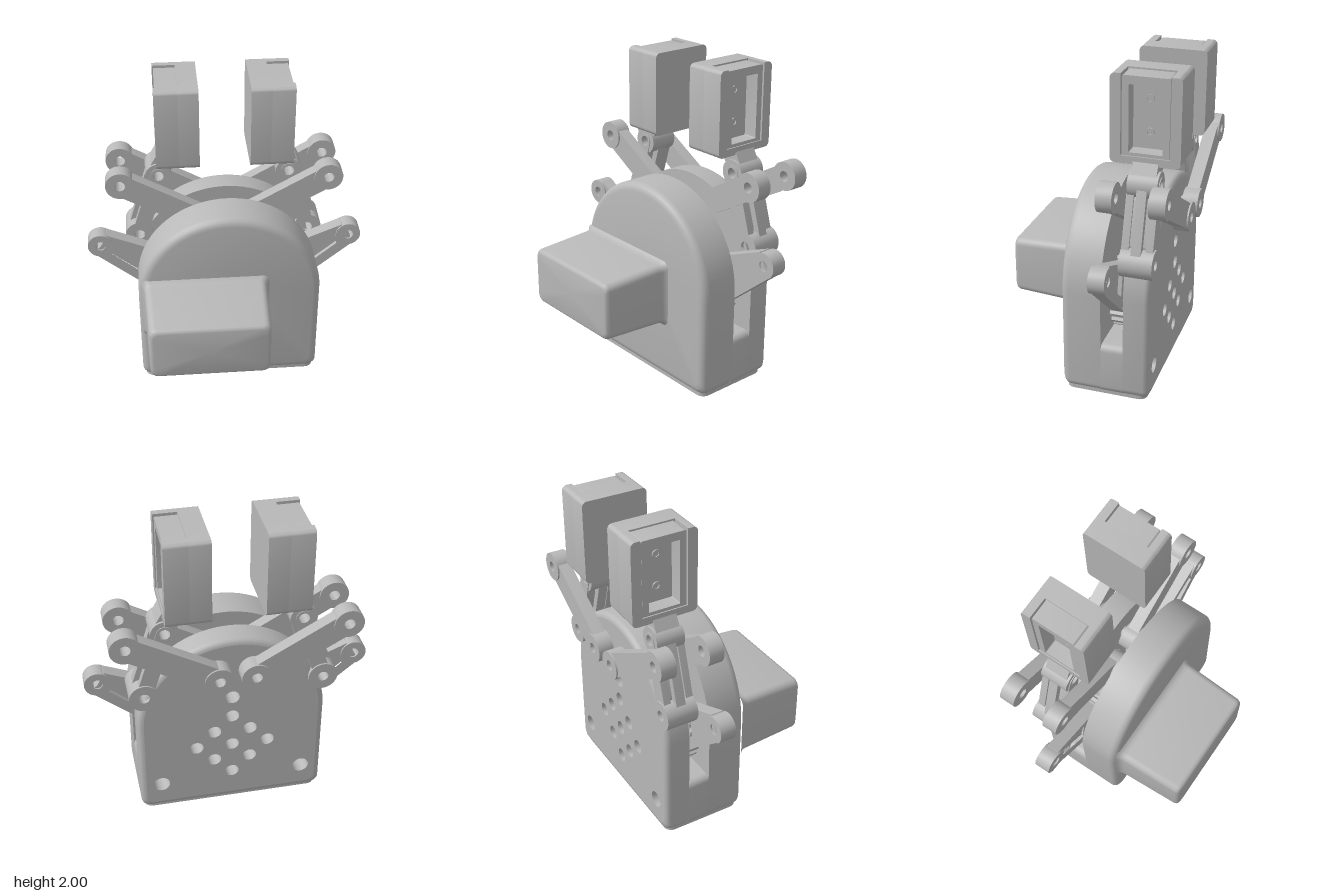
import * as THREE from 'three';
import { toCreasedNormals } from 'three/addons/utils/BufferGeometryUtils.js';

const grey = new THREE.MeshStandardMaterial({ color: 0xb8b8b8 });
grey.name = 'plain grey';
const V = (x, y) => new THREE.Vector2(x, y);
const poly = (pts) => new THREE.Shape(pts.map(([x, y]) => V(x, y)));

function add(parent, name, geometry) {
  const mesh = new THREE.Mesh(geometry, grey);
  mesh.name = name;
  parent.add(mesh);
  return mesh;
}

function arc(cx, cy, r, from, to, n) {
  const pts = [];
  for (let i = 0; i <= n; i++) {
    const a = THREE.MathUtils.degToRad(from + ((to - from) * i) / n);
    pts.push(V(cx + r * Math.cos(a), cy + r * Math.sin(a)));
  }
  return pts;
}

function roundRect(x0, x1, y0, y1, r) {
  return [
    ...arc(x1 - r, y0 + r, r, -90, 0, 6), ...arc(x1 - r, y1 - r, r, 0, 90, 6),
    ...arc(x0 + r, y1 - r, r, 90, 180, 6), ...arc(x0 + r, y0 + r, r, 180, 270, 6),
  ];
}

// Arched housing outline, inset by d
function arch(d) {
  const cx = 0.01, R = 0.58 - d, y0 = 0.02 + d, c = 0.05;
  return [
    ...arc(cx + R - c, y0 + c, c, -90, 0, 6),
    ...arc(cx, 0.67, R, 0, 180, 48),
    ...arc(cx - R + c, y0 + c, c, 180, 270, 6),
  ];
}

// Skin over convex outlines stacked along z, lowest z first
function loft(sections, capBack, capFront) {
  const pos = [];
  const put = (...vs) => vs.forEach(([p, z]) => pos.push(p.x, p.y, z));
  const n = sections[0][0].length;
  for (let i = 0; i + 1 < sections.length; i++) {
    const [A, za] = sections[i], [B, zb] = sections[i + 1];
    for (let j = 0; j < n; j++) {
      const k = (j + 1) % n;
      put([A[j], za], [A[k], za], [B[k], zb], [A[j], za], [B[k], zb], [B[j], zb]);
    }
  }
  const cap = ([P, z], front) => {
    const c = P.reduce((s, p) => s.add(p), V(0, 0)).divideScalar(n);
    for (let j = 0; j < n; j++) {
      const a = P[j], b = P[(j + 1) % n];
      put([c, z], [front ? a : b, z], [front ? b : a, z]);
    }
  };
  if (capBack) cap(sections[0], false);
  if (capFront) cap(sections[sections.length - 1], true);
  const g = new THREE.BufferGeometry();
  g.setAttribute('position', new THREE.Float32BufferAttribute(pos, 3));
  return toCreasedNormals(g, 0.6);
}

// Flat part between z0 and z1; holes are [x, y, r]
function plate(shape, z0, z1, holes = []) {
  for (const [x, y, r] of holes) shape.holes.push(new THREE.Path(arc(x, y, r, 360, 0, 24).slice(1)));
  const g = new THREE.ExtrudeGeometry(shape, { depth: z1 - z0, bevelEnabled: false });
  return toCreasedNormals(g.translate(0, 0, z0), 0.6);
}

const eye = (x, y, r, z0, z1, hole) => plate(new THREE.Shape(arc(x, y, r, 0, 360, 32).slice(1)), z0, z1, [[x, y, hole]]);

// Round-ended bar from a to b
function bar(a, b, r, z0, z1, hole) {
  const t = THREE.MathUtils.radToDeg(Math.atan2(b[1] - a[1], b[0] - a[0]));
  const pts = [...arc(b[0], b[1], r, t - 90, t + 90, 16), ...arc(a[0], a[1], r, t + 90, t + 270, 16)];
  return plate(new THREE.Shape(pts), z0, z1, hole ? [[...a, hole], [...b, hole]] : []);
}

function gearShape(cx, cy, r, teeth, phase) {
  const pts = [];
  for (let i = 0; i < teeth; i++) {
    [[0, -0.02], [0.25, -0.02], [0.4, 0.015], [0.75, 0.015]].forEach(([f, h]) => {
      const a = ((i + f + phase) / teeth) * Math.PI * 2;
      pts.push([cx + (r + h) * Math.cos(a), cy + (r + h) * Math.sin(a)]);
    });
  }
  return poly(pts);
}

function buildHousing(root) {
  const body = new THREE.Group();
  body.name = 'housing';
  root.add(body);
  const edge = (z, r, dir) => [0, 22.5, 45, 67.5, 90].map((a) => {
    const t = THREE.MathUtils.degToRad(a);
    return [arch(r * (1 - Math.cos(t))), z + dir * r * Math.sin(t)];
  });
  // Front shell, rounded at its front edge
  add(body, 'frontShell', loft([[arch(0), -0.14], ...edge(0.06, 0.05, 1)], true, true));
  // Back shell, with a drilled panel closing it
  add(body, 'backShell', loft([...edge(-0.405, 0.035, -1).reverse(), [arch(0), -0.28]], false, false));
  const holes = [[0.46, 0.2, 0.052], [-0.44, 0.2, 0.052], [0.01, 0.83, 0.045]];
  for (let i = -1; i <= 1; i++)
    for (let j = -1; j <= 1; j++) holes.push([0.01 + (i - j) * 0.112, 0.46 + (i + j) * 0.112, 0.043]);
  add(body, 'backPanel', plate(new THREE.Shape(arch(0.035)), -0.44, -0.281, holes));
  add(body, 'backShellRim', plate(new THREE.Shape(arch(0)), -0.285, -0.28, holes));
  // Solid base under the side slots
  add(body, 'slotBase', plate(new THREE.Shape(roundRect(-0.57, 0.59, 0.02, 0.35, 0.045)), -0.285, -0.135));
  // Drilled bottom plate and foot rings
  const vents = [[0.01, 0.165, 0.04]], feet = [];
  for (let i = 0; i < 6; i++) {
    const a = (i * Math.PI) / 3;
    vents.push([0.01 + 0.2 * Math.cos(a), 0.165 + 0.155 * Math.sin(a), 0.04]);
  }
  for (const x of [-0.48, 0.5]) for (const y of [-0.03, 0.36]) feet.push([x, y, 0.045]);
  const floor = plate(new THREE.Shape(roundRect(-0.55, 0.57, -0.09, 0.42, 0.05)), 0.004, 0.045, [...vents, ...feet]);
  add(body, 'bottomPlate', floor.rotateX(-Math.PI / 2));
  for (const [x, y] of feet)
    add(body, 'footRing', eye(x, y, 0.055, 0, 0.03, 0.028).rotateX(-Math.PI / 2));
  // Motor cover on the front, flared at its root
  const cover = (d) => roundRect(-0.53 + d, 0.24 - d, 0.4 + d, 0.8 - d, 0.045);
  add(body, 'motorCover', loft([
    [cover(-0.025), 0.105], [cover(-0.012), 0.118], [cover(-0.003), 0.135], [cover(0), 0.16],
    [cover(0.015), 0.53], [cover(0.02), 0.547], [cover(0.03), 0.557], [cover(0.04), 0.56],
  ], false, true));
}

function buildLinkage(root, s) {
  const side = new THREE.Group();
  side.name = s > 0 ? 'leftLinkage' : 'rightLinkage';
  root.add(side);
  const P = (x, y) => [s * x, y];

  // Upper arms, one in the slot and one behind the back panel
  const inner = P(0.11, 1.05), outer = P(0.65, 1.357);
  for (const [z0, z1] of [[-0.255, -0.16], [-0.56, -0.462]]) {
    add(side, 'upperArm', bar(inner, outer, 0.076, z0 + 0.01, z1 - 0.01, 0.034));
    for (const p of [inner, outer]) add(side, 'upperArmEye', eye(...p, 0.09, z0, z1, 0.033));
  }
  const pin = new THREE.CylinderGeometry(0.033, 0.033, 0.35, 24).rotateX(Math.PI / 2);
  add(side, 'pivotPin', pin.translate(...inner, -0.31));

  // Drive gear with the ribbed lower arm
  add(side, 'driveGear', plate(gearShape(s * 0.25, 0.6, 0.235, 24, s > 0 ? 0 : 0.5), -0.255, -0.165, [[s * 0.25, 0.6, 0.045]]));
  const frame = poly([P(0.755, 0.985), P(0.34, 0.81), P(0.43, 0.5), P(0.855, 0.857), P(0.8, 0.9)]);
  frame.holes.push(new THREE.Path([P(0.71, 0.905), P(0.5, 0.82), P(0.53, 0.67), P(0.73, 0.84)].map((p) => V(...p))));
  add(side, 'lowerArm', plate(frame, -0.25, -0.17, [[s * 0.8, 0.912, 0.033]]));
  add(side, 'lowerArmWeb', plate(poly([P(0.73, 0.91), P(0.48, 0.83), P(0.51, 0.64), P(0.74, 0.83)]), -0.225, -0.195));
  add(side, 'lowerArmEye', eye(...P(0.8, 0.912), 0.08, -0.26, -0.16, 0.033));

  // Coupler carrying the finger, wide centre rib and slimmer flanks
  const top = P(0.41, 1.357), low = P(0.545, 0.92);
  add(side, 'couplerRib', bar(top, low, 0.075, -0.385, -0.325, 0.033));
  for (const [z0, z1] of [[-0.45, -0.405], [-0.305, -0.26]]) add(side, 'couplerFlank', bar(top, low, 0.05, z0, z1, 0.033));
  add(side, 'couplerWeb', bar(P(0.44, 1.26), P(0.515, 1.02), 0.035, -0.42, -0.29));
  add(side, 'couplerTopEye', eye(...top, 0.082, -0.445, -0.265, 0.033));
  add(side, 'couplerLowEye', eye(...low, 0.09, -0.46, -0.26, 0.033));
  add(side, 'fingerTab', plate(poly([P(0.34, 1.4), P(0.47, 1.4), P(0.42, 1.49), P(0.275, 1.49)]), -0.43, -0.28));
}

function buildFinger(root, s) {
  const finger = new THREE.Group();
  finger.name = s > 0 ? 'leftFinger' : 'rightFinger';
  finger.position.z = -0.35;
  if (s < 0) finger.rotation.y = Math.PI;
  root.add(finger);
  const along = (shape, x0, x1, holes) => plate(shape, x0, x1, holes).rotateY(Math.PI / 2);
  // Gripping pad, a solid inner half and a wrap around the holder
  add(finger, 'pad', along(new THREE.Shape(roundRect(-0.208, 0.208, 1.472, 2, 0.03)), 0.155, 0.28));
  const wrap = new THREE.Shape([
    ...arc(0.178, 1.502, 0.03, -90, 0, 6), ...arc(0.178, 1.97, 0.03, 0, 90, 6),
    V(0.145, 2), V(0.145, 1.52), V(-0.145, 1.52), V(-0.145, 2),
    ...arc(-0.178, 1.97, 0.03, 90, 180, 6), ...arc(-0.178, 1.502, 0.03, 180, 270, 6),
  ]);
  add(finger, 'padWrap', along(wrap, 0.28, 0.42));
  // Holder with a screwed pocket
  const holder = new THREE.Shape(roundRect(-0.14, 0.14, 1.515, 1.99, 0.01));
  holder.holes.push(new THREE.Path(roundRect(-0.1, 0.1, 1.54, 1.94, 0.005).reverse()));
  add(finger, 'holder', along(holder, 0.28, 0.412));
  add(finger, 'pocketFloor', along(poly([[-0.12, 1.53], [0.12, 1.53], [0.12, 1.95], [-0.12, 1.95]]), 0.28, 0.32));
  for (const y of [1.64, 1.84]) add(finger, 'screwRing', along(new THREE.Shape(arc(0, y, 0.026, 0, 360, 20).slice(1)), 0.31, 0.328, [[0, y, 0.016]]));
}

export function createModel() {
  const root = new THREE.Group();
  root.name = 'gripper';
  buildHousing(root);
  for (const s of [1, -1]) {
    buildLinkage(root, s);
    buildFinger(root, s);
  }
  return root;
}
